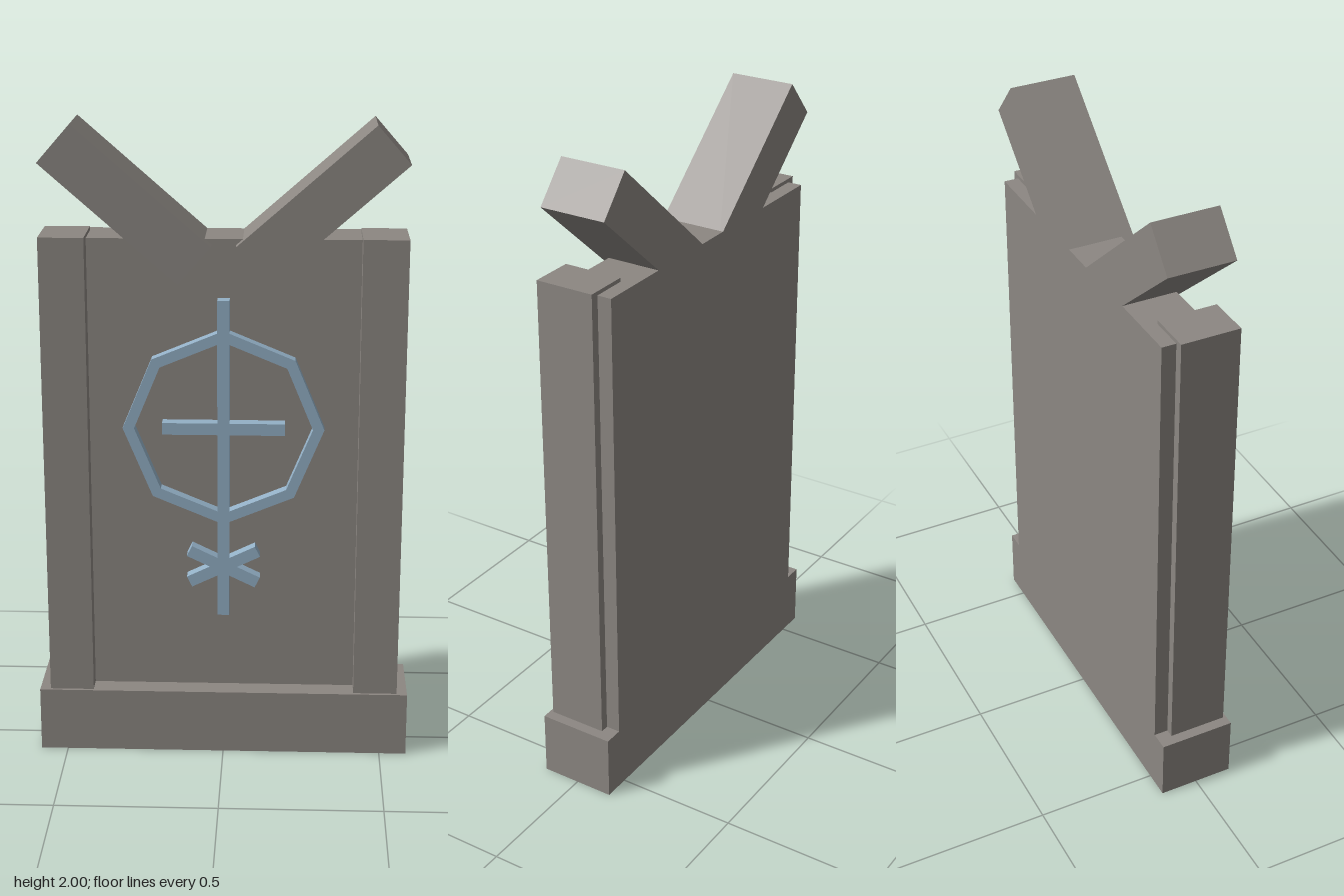
import * as THREE from 'three';

const stone = new THREE.MeshStandardMaterial({ color: 0x8c8782 });
stone.name = 'grey stone';
const inlay = new THREE.MeshStandardMaterial({ color: 0x93b0c6 });
inlay.name = 'pale blue';

// Box given by its limits on each axis, optionally turned about z
function block(name, material, [x0, x1], [y0, y1], [z0, z1], angle = 0) {
  const mesh = new THREE.Mesh(new THREE.BoxGeometry(x1 - x0, y1 - y0, z1 - z0), material);
  mesh.position.set((x0 + x1) / 2, (y0 + y1) / 2, (z0 + z1) / 2);
  mesh.rotation.z = angle;
  mesh.name = name;
  return mesh;
}

// Closed path of a regular octagon with a corner on the x axis
function octagon(PathType, radius) {
  const points = [];
  for (let i = 0; i < 8; i++) {
    const a = (i * Math.PI) / 4;
    points.push(new THREE.Vector2(radius * Math.cos(a), radius * Math.sin(a)));
  }
  return new PathType(points);
}

export function createModel() {
  const model = new THREE.Group();
  model.name = 'stoneTablet';

  // Plinth and main slab
  model.add(block('base', stone, [-0.585, 0.585], [0, 0.205], [-0.12, 0.12]));
  model.add(block('slab', stone, [-0.525, 0.525], [0.1, 1.655], [-0.12, 0.05]));

  // Side pillars and slanted top beams
  for (const [side, s] of [['left', 1], ['right', -1]]) {
    const pillar = block(side + 'Pillar', stone, [-0.069, 0.069], [0.2, 1.667], [-0.075, 0.11]);
    pillar.position.x = s * 0.483;
    model.add(pillar);

    const beam = block(side + 'Beam', stone, [-0.275, 0.275], [-0.0765, 0.0765], [-0.12, 0.088], s * 0.72);
    beam.position.x = s * 0.294;
    beam.position.y = 1.761;
    model.add(beam);
  }

  // Raised emblem on the front
  const emblem = new THREE.Group();
  emblem.name = 'emblem';
  const depth = [0.045, 0.091];
  emblem.add(block('emblemStem', inlay, [-0.0185, 0.0185], [0.46, 1.475], depth));
  emblem.add(block('emblemCrossbar', inlay, [-0.188, 0.188], [1.054, 1.091], depth));
  for (const s of [1, -1]) {
    emblem.add(block('emblemDiagonal', inlay, [-0.118, 0.118], [0.604, 0.641], depth, s * 0.45));
  }

  // Octagonal ring
  const ringShape = octagon(THREE.Shape, 0.309);
  ringShape.holes.push(octagon(THREE.Path, 0.274));
  const ring = new THREE.Mesh(
    new THREE.ExtrudeGeometry(ringShape, { depth: depth[1] - depth[0], bevelEnabled: false }),
    inlay
  );
  ring.position.set(0, 1.073, depth[0]);
  ring.name = 'emblemRing';
  emblem.add(ring);
  model.add(emblem);

  return model;
}
